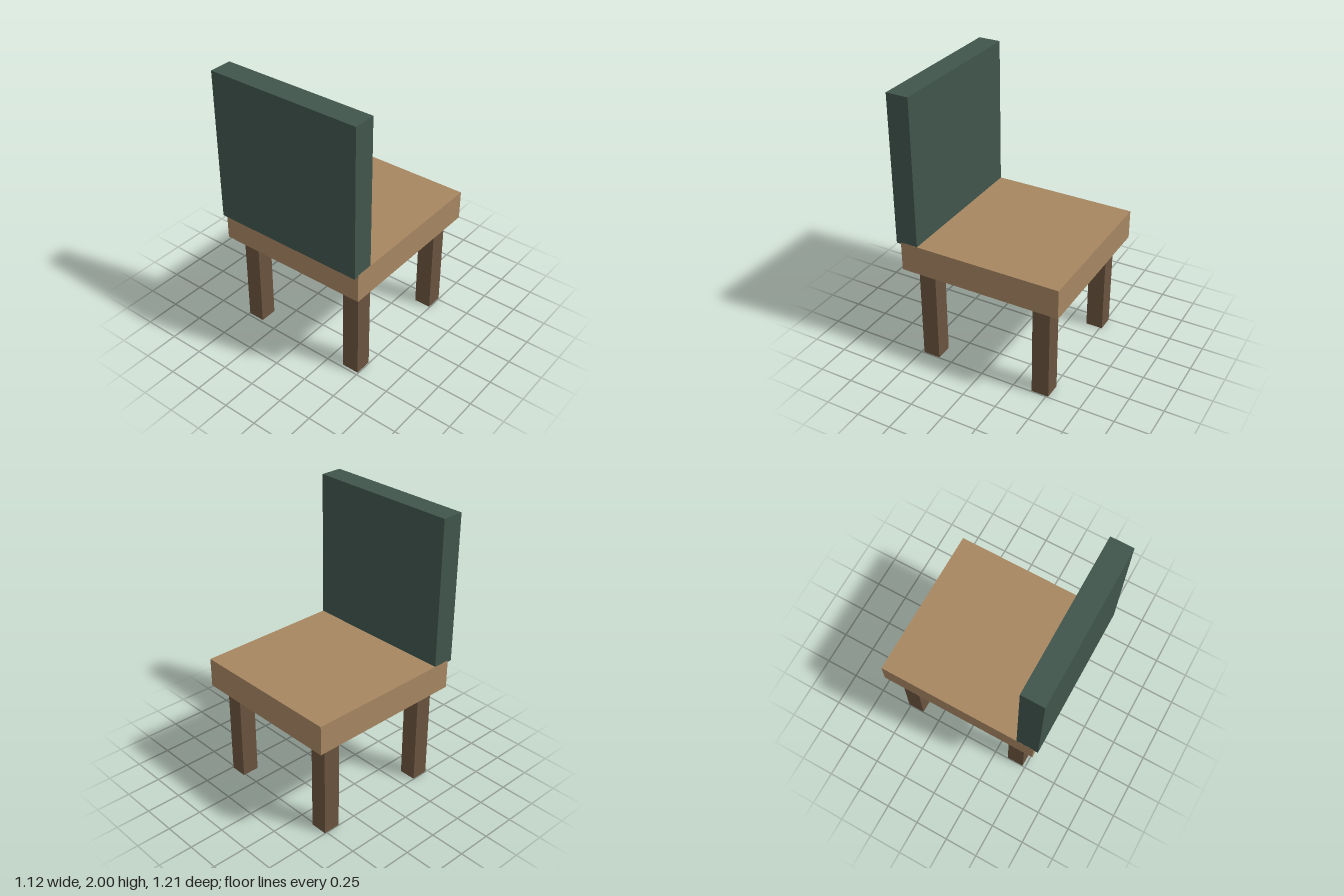
import * as THREE from 'three';

const seatWood = new THREE.MeshStandardMaterial({ color: 0xa68661 });
seatWood.name = 'light wood';
const legWood = new THREE.MeshStandardMaterial({ color: 0x6a533e });
legWood.name = 'dark wood';
const backGreen = new THREE.MeshStandardMaterial({ color: 0x40554c });
backGreen.name = 'dark green';

// Box given by its extents along each axis
function block(name, material, [x0, x1], [y0, y1], [z0, z1]) {
  const mesh = new THREE.Mesh(new THREE.BoxGeometry(x1 - x0, y1 - y0, z1 - z0), material);
  mesh.position.set((x0 + x1) / 2, (y0 + y1) / 2, (z0 + z1) / 2);
  mesh.name = name;
  return mesh;
}

export function createModel() {
  const chair = new THREE.Group();
  chair.name = 'chair';

  // Seat slab
  chair.add(block('seat', seatWood, [-0.56, 0.56], [0.72, 0.932], [-0.604, 0.57]));

  // Backrest, a hair narrower than the seat it sinks into
  chair.add(block('backrest', backGreen, [-0.559, 0.559], [0.92, 2], [0.443, 0.604]));

  // Four square legs
  for (const [side, x] of [['right', [-0.497, -0.373]], ['left', [0.37, 0.494]]]) {
    chair.add(block(side + 'LegBesideBackrest', legWood, x, [0, 0.722], [0.354, 0.48]));
    chair.add(block(side + 'LegUnderOpenEdge', legWood, x, [0, 0.722], [-0.515, -0.389]));
  }
  return chair;
}
